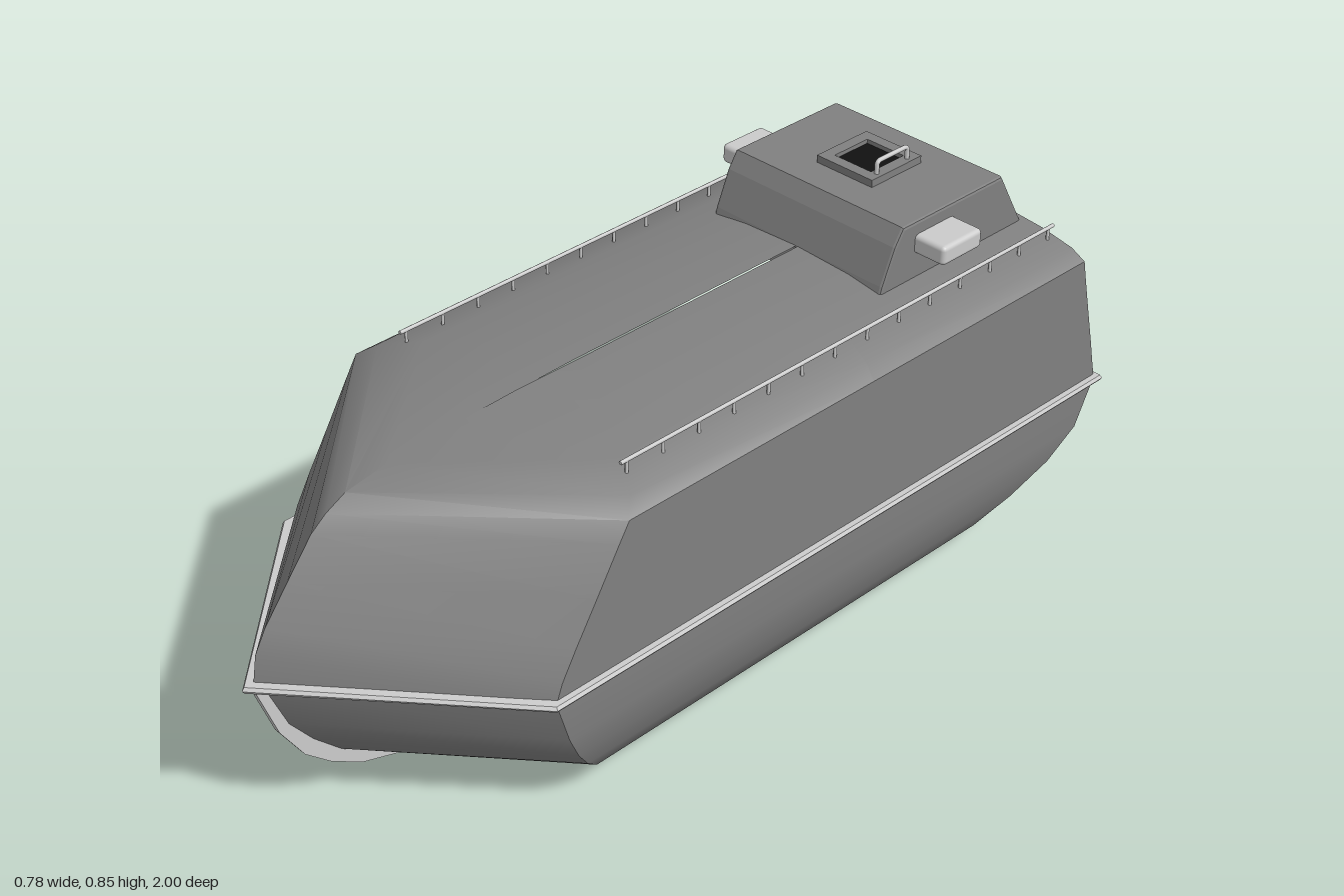
import * as THREE from 'three';
import { toCreasedNormals } from 'three/addons/utils/BufferGeometryUtils.js';
import { RoundedBoxGeometry } from 'three/addons/geometries/RoundedBoxGeometry.js';

const hullMat = new THREE.MeshStandardMaterial({ color: 0x808080 });
const lightMat = new THREE.MeshStandardMaterial({ color: 0xcccccc });
const glassMat = new THREE.MeshStandardMaterial({ color: 0x111111 });

function add(parent, name, geometry, material, x = 0, y = 0, z = 0) {
  const mesh = new THREE.Mesh(geometry, material);
  mesh.name = name;
  mesh.position.set(x, y, z);
  parent.add(mesh);
  return mesh;
}

// Skin stacked closed rings of [x, y, z] points, bottom to top
function skin(rings, crease = 0.55) {
  const n = rings[0].length, index = [];
  for (let i = 0; i < rings.length - 1; i++) {
    for (let j = 0; j < n; j++) {
      const a = i * n + j, b = i * n + (j + 1) % n;
      index.push(a, b, a + n, b, b + n, a + n);
    }
  }
  const g = new THREE.BufferGeometry();
  g.setAttribute('position', new THREE.Float32BufferAttribute(rings.flat(2), 3));
  g.setIndex(index);
  return toCreasedNormals(g, crease);
}

// Pointed boat outline: half width, side height, shoulder z, stern z, bow z, bow height
function outline([w, y, zc, zs, zb, yb]) {
  const zm = (zc + zs) / 2, mid = zs - 0.03 * w;
  return [
    [0, yb, zb], [w, y, zc], [w, y, zm], [w, y, zs],
    [0, y, mid], [-w, y, zs], [-w, y, zm], [-w, y, zc],
  ];
}

// Extrude a [z, y] side profile across x, centred on x = 0
function extrudeX(points, width, bevel = 0) {
  const shape = new THREE.Shape(points.map(([z, y]) => new THREE.Vector2(z, y)));
  const depth = width - 2 * bevel;
  const g = new THREE.ExtrudeGeometry(shape, {
    depth, bevelEnabled: bevel > 0, bevelSize: bevel, bevelThickness: bevel, bevelOffset: -bevel, bevelSegments: 2,
  });
  return g.rotateY(-Math.PI / 2).translate(depth / 2, 0, 0);
}

// Rectangular frame with an opening, facing z
function frame(w, h, border, depth) {
  const rect = (T, a, b) => new T([[-a, -b], [a, -b], [a, b], [-a, b]].map(([x, y]) => new THREE.Vector2(x, y)));
  const shape = rect(THREE.Shape, w / 2, h / 2);
  shape.holes.push(rect(THREE.Path, w / 2 - border, h / 2 - border));
  return new THREE.ExtrudeGeometry(shape, { depth, bevelEnabled: false }).translate(0, 0, -depth / 2);
}

// U-shaped grab handle along y, standing out towards -z
function handle(length, reach, radius) {
  const h = length / 2;
  const path = new THREE.CatmullRomCurve3([
    [0, -h, 0], [0, -h, -reach * 0.8], [0, -h * 0.85, -reach],
    [0, h * 0.85, -reach], [0, h, -reach * 0.8], [0, h, 0],
  ].map(p => new THREE.Vector3(...p)), false, 'catmullrom', 0.1);
  return new THREE.TubeGeometry(path, 30, radius, 8);
}

export function createModel() {
  const boat = new THREE.Group();
  boat.name = 'enclosedLifeboat';

  // Hull below the gunwale
  add(boat, 'lowerHull', skin([
    [0.002, 0.018, 0.20, -0.30, 0.25, 0.018],
    [0.10, 0.020, 0.30, -0.38, 0.42, 0.021],
    [0.22, 0.030, 0.38, -0.45, 0.56, 0.032],
    [0.295, 0.045, 0.43, -0.55, 0.67, 0.048],
    [0.325, 0.065, 0.46, -0.62, 0.74, 0.068],
    [0.345, 0.105, 0.50, -0.71, 0.81, 0.115],
    [0.365, 0.16, 0.54, -0.80, 0.87, 0.175],
    [0.375, 0.22, 0.57, -0.87, 0.92, 0.24],
    [0.375, 0.32, 0.60, -0.92, 0.97, 0.36],
  ].map(outline)), hullMat);

  // Closed canopy above the gunwale
  add(boat, 'canopy', skin([
    [0.375, 0.32, 0.60, -0.92, 0.975, 0.36],
    [0.375, 0.36, 0.585, -0.91, 0.965, 0.42],
    [0.375, 0.42, 0.55, -0.896, 0.94, 0.465],
    [0.375, 0.50, 0.50, -0.876, 0.885, 0.535],
    [0.375, 0.59, 0.445, -0.854, 0.825, 0.61],
    [0.375, 0.63, 0.42, -0.845, 0.79, 0.637],
    [0.345, 0.652, 0.39, -0.839, 0.745, 0.66],
    [0.27, 0.67, 0.34, -0.835, 0.65, 0.675],
    [0.14, 0.685, 0.26, -0.831, 0.50, 0.685],
    [0.002, 0.69, 0.20, -0.83, 0.35, 0.69],
  ].map(outline)), hullMat);

  // Rubbing strake around the joint
  add(boat, 'gunwale', skin([
    [0.365, 0.316, 0.595, -0.905, 0.96, 0.352],
    [0.387, 0.316, 0.61, -0.925, 0.995, 0.352],
    [0.391, 0.322, 0.612, -0.928, 1.0, 0.359],
    [0.387, 0.329, 0.61, -0.925, 0.995, 0.366],
    [0.365, 0.329, 0.595, -0.905, 0.96, 0.366],
  ].map(outline)), lightMat);

  // Keel plate from stem to stern
  add(boat, 'keel', extrudeX([
    [0.98, 0.355], [0.935, 0.23], [0.885, 0.15], [0.83, 0.10], [0.76, 0.055], [0.66, 0.022], [0.55, 0],
    [-0.3, 0], [-0.5, 0.028], [-0.7, 0.075], [-0.7, 0.13], [-0.4, 0.08], [0.5, 0.08], [0.75, 0.14], [0.93, 0.355],
  ], 0.014), lightMat);

  // Wheelhouse with roof hatch
  add(boat, 'wheelhouse', extrudeX([
    [-0.385, 0.64], [-0.40, 0.69], [-0.432, 0.765], [-0.455, 0.80], [-0.75, 0.80], [-0.84, 0.64],
  ].reverse(), 0.45, 0.006), hullMat);
  const hatch = new THREE.Group();
  hatch.name = 'roofHatch';
  hatch.position.set(0, 0.8, -0.605);
  boat.add(hatch);
  add(hatch, 'hatchFrame', frame(0.147, 0.147, 0.025, 0.016).rotateX(-Math.PI / 2), hullMat, 0, 0.008);
  add(hatch, 'hatchGlass', new THREE.BoxGeometry(0.1, 0.006, 0.1), glassMat, 0, 0.004);
  add(hatch, 'hatchHandle', handle(0.09, 0.03, 0.005).rotateX(Math.PI / 2), lightMat, 0.06, 0.013);

  for (const s of [-1, 1]) {
    // Lamp boxes beside the wheelhouse
    add(boat, 'sideLamp', new RoundedBoxGeometry(0.1, 0.042, 0.115, 2, 0.01), lightMat, s * 0.249, 0.75, -0.548);

    // Deck rails on short posts
    const rail = new THREE.Group();
    rail.name = 'deckRail';
    boat.add(rail);
    add(rail, 'railBar', new THREE.CylinderGeometry(0.004, 0.004, 1.2, 8).rotateX(Math.PI / 2), lightMat, s * 0.3, 0.689, -0.23);
    for (let i = 0; i < 14; i++) {
      add(rail, 'railPost', new THREE.CylinderGeometry(0.0035, 0.0035, 0.034, 6), lightMat, s * 0.3, 0.672, 0.355 - i * 0.09);
    }
  }

  // Stern doors lying on the raked transom
  const doors = new THREE.Group();
  doors.name = 'sternDoors';
  doors.position.set(0, 0.5, -0.88);
  doors.rotation.x = Math.atan2(0.09, 0.37);
  boat.add(doors);
  for (const x of [-0.255, -0.125, 0.125, 0.255]) {
    const door = new THREE.Group();
    door.name = 'door';
    door.position.x = x;
    doors.add(door);
    const side = Math.sign(x) * (Math.abs(x) > 0.19 ? -1 : 1);
    add(door, 'doorPanel', new RoundedBoxGeometry(0.126, 0.26, 0.024, 2, 0.006), hullMat, 0, -0.012, -0.005);
    add(door, 'windowFrame', frame(0.088, 0.108, 0.01, 0.012), hullMat, -side * 0.01, 0.053, -0.021);
    add(door, 'windowGlass', new THREE.BoxGeometry(0.07, 0.09, 0.006), glassMat, -side * 0.01, 0.053, -0.018);
    add(door, 'doorHandle', handle(0.105, 0.03, 0.005), lightMat, side * 0.047, 0.042, -0.015);
  }

  // Tapered skeg running aft to the propeller
  const skegRings = [[-0.905, 0.125, 0.02, 0.03], [-0.86, 0.135, 0.03, 0.04], [-0.8, 0.145, 0.05, 0.05], [-0.6, 0.14, 0.1, 0.06]]
    .map(([z, cy, rx, ry]) => Array.from({ length: 20 }, (_, i) => {
      const a = i / 20 * Math.PI * 2;
      return [Math.cos(a) * rx, cy + Math.sin(a) * ry, z];
    }));
  add(boat, 'skeg', skin(skegRings, 0.8), hullMat);
  add(boat, 'nozzleStrut', extrudeX([[-0.8, 0.2], [-0.9, 0.17], [-0.94, 0.18], [-0.905, 0.24], [-0.88, 0.3], [-0.84, 0.28]].reverse(), 0.016), hullMat);

  // Ducted propeller
  const drive = new THREE.Group();
  drive.name = 'propulsion';
  drive.position.set(0, 0.13, -0.938);
  boat.add(drive);
  const duct = [[0.046, -0.037], [0.059, -0.037], [0.059, 0.037], [0.05, 0.037], [0.046, -0.037]];
  add(drive, 'nozzle', toCreasedNormals(
    new THREE.LatheGeometry(duct.map(p => new THREE.Vector2(...p)), 32).rotateX(-Math.PI / 2), 0.6), hullMat);
  const hub = [[0, -0.04], [0.018, -0.04], [0.02, 0.035], [0.018, 0.045], [0.01, 0.058], [0, 0.062]];
  add(drive, 'propellerHub', new THREE.LatheGeometry(hub.map(p => new THREE.Vector2(...p)), 20).rotateX(-Math.PI / 2), hullMat);
  for (let i = 0; i < 4; i++) {
    const blade = new THREE.BoxGeometry(0.026, 0.034, 0.004).rotateY(0.6).translate(0, 0.03, 0);
    add(drive, 'propellerBlade', blade.rotateZ(i * Math.PI / 2 + 0.4), hullMat, 0, 0, -0.015);
  }
  return boat;
}
